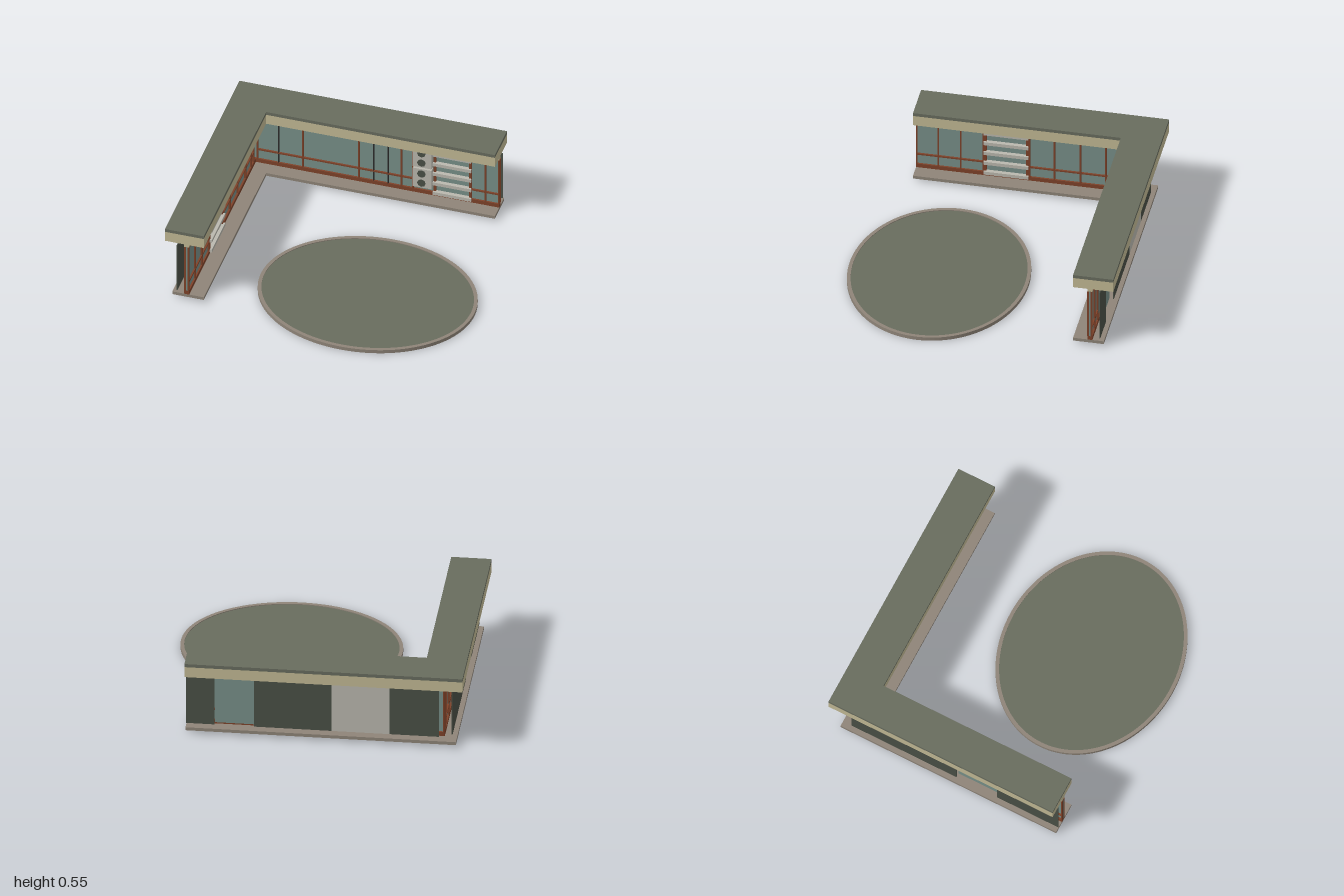
import * as THREE from 'three';

const mat = (name, color) => Object.assign(new THREE.MeshStandardMaterial({ color }), { name });
const M = {
  roof: mat('grey green', 0x686c5e),
  cream: mat('cream', 0xc2b994),
  stone: mat('warm stone', 0x8e8478),
  red: mat('red brown timber', 0x7e4229),
  glass: mat('teal glass', 0x778f88),
  dark: mat('dark panel', 0x4a5046),
  pale: mat('pale grey', 0xbab8ae),
  black: mat('dark mullion', 0x2c2c2a),
};

function add(parent, name, geo, material) {
  const m = new THREE.Mesh(geo, material);
  m.name = name;
  parent.add(m);
  return m;
}

// box given by its ranges on x, y and z
function box(parent, name, material, x0, x1, y0, y1, z0, z1) {
  const m = add(parent, name, new THREE.BoxGeometry(x1 - x0, y1 - y0, z1 - z0), material);
  m.position.set((x0 + x1) / 2, (y0 + y1) / 2, (z0 + z1) / 2);
}

// L-shaped slab: outer corner at (x0, z0), inner corner at (xi, zi)
function slab(parent, name, material, x0, z0, xi, zi, x1, z1, y0, y1) {
  const pts = [[x0, z0], [x1, z0], [x1, zi], [xi, zi], [xi, z1], [x0, z1]];
  const shape = new THREE.Shape(pts.map(([x, z]) => new THREE.Vector2(x, -z)));
  const geo = new THREE.ExtrudeGeometry(shape, { depth: y1 - y0, bevelEnabled: false });
  geo.rotateX(-Math.PI / 2);
  add(parent, name, geo, material).position.y = y0;
}

const SILL = 0.07, TOP = 0.43, RAIL = 0.147;

// one wing: x runs along the facade, +z faces the courtyard
function wing(name, o) {
  const g = new THREE.Group();
  g.name = name;
  const [a, b] = o.span;
  box(g, 'sill', M.red, a, b, 0.04, SILL, -0.017, 0.017);
  box(g, 'topBeam', M.cream, a, b, TOP, 0.452, -0.017, 0.017);
  box(g, 'glazing', M.glass, a, b, SILL, TOP, -0.005, 0.005);

  // timber frame on both faces of the glazing
  for (const [z0, z1] of [[0.005, 0.017], [-0.017, -0.005]]) {
    box(g, 'topRail', M.red, a, b, TOP - 0.006, TOP, z0, z1);
    for (const [p, q] of o.rails) box(g, 'transom', M.red, p, q, RAIL - 0.005, RAIL + 0.005, z0, z1);
    for (const u of o.posts) box(g, 'mullion', M.red, u - 0.005, u + 0.005, SILL, TOP, z0, z1);
    for (const u of o.thin) box(g, 'thinMullion', M.black, u - 0.003, u + 0.003, SILL, TOP, z0, z1);
  }

  // open shelves between two wide posts
  const [s0, s1] = o.shelves;
  box(g, 'shelfPost', M.red, s0, s0 + 0.018, SILL, TOP, -0.017, 0.02);
  box(g, 'shelfPost', M.red, s1 - 0.018, s1, SILL, TOP, -0.017, 0.02);
  for (let i = 0; i < 5; i++) {
    const y = 0.07 + i * 0.079;
    box(g, 'shelf', M.pale, s0, s1, y - 0.012, y + 0.012, 0.006, 0.033);
  }

  // rear cladding, with a window behind the shelves
  for (const [p, q, m] of o.cladding) box(g, 'rearPanel', m, p, q, 0.062, TOP, -0.069, -0.063);
  box(g, 'rearWindow', M.glass, s0, s1, 0.062, TOP, -0.038, -0.033);
  return g;
}

export function createModel() {
  const root = new THREE.Group();
  root.name = 'pavilion';

  slab(root, 'floorSlab', M.stone, -0.95, -0.875, -0.735, -0.67, 0.83, 0.717, 0.02, 0.042);
  slab(root, 'roofFascia', M.cream, -1, -0.938, -0.735, -0.67, 0.83, 0.717, 0.45, 0.524);
  slab(root, 'roofTop', M.roof, -1, -0.938, -0.735, -0.67, 0.83, 0.717, 0.524, 0.547);

  const back = wing('backWing', {
    span: [-0.868, 0.83],
    posts: [-0.863, -0.825, -0.515, -0.13, 0.16, 0.24, 0.735, 0.828],
    thin: [-0.68, -0.03, 0.07],
    rails: [[-0.82, 0.24], [0.64, 0.83]],
    shelves: [0.38, 0.642],
    cladding: [[0.642, 0.83, M.dark], [-0.13, 0.38, M.dark], [-0.51, -0.13, M.pale], [-0.835, -0.51, M.dark]],
  });
  back.position.z = -0.782;
  root.add(back);

  // cabinets with round dark fronts beside the back shelves
  for (const [y0, y1] of [[0.275, 0.43], [0.11, 0.262]]) {
    box(back, 'cabinet', M.pale, 0.247, 0.375, y0, y1, 0.006, 0.045);
    for (const t of [0.25, 0.75]) {
      const disc = add(back, 'roundFront', new THREE.CylinderGeometry(0.029, 0.029, 0.006, 8), M.dark);
      disc.rotation.x = Math.PI / 2;
      disc.position.set(0.307, y0 + (y1 - y0) * t, 0.046);
    }
  }

  const side = wing('sideWing', {
    span: [-0.717, 0.765],
    posts: [-0.714, -0.57, -0.42, -0.27, 0.04, 0.205, 0.38, 0.55, 0.675, 0.73],
    thin: [],
    rails: [[-0.717, -0.265], [0.035, 0.73]],
    shelves: [-0.265, 0.035],
    cladding: [[-0.717, -0.265, M.dark], [0.035, 0.81, M.dark]],
  });
  side.rotation.y = Math.PI / 2;
  side.position.x = -0.852;
  root.add(side);

  // oval courtyard bed with a raised stone rim
  const bed = new THREE.Group();
  bed.name = 'ovalBed';
  const oval = (path, rx, rz) => path.absellipse(0, 0, rx, rz, 0, Math.PI * 2, false, 0);
  const ring = oval(new THREE.Shape(), 0.73, 0.597);
  ring.holes.push(oval(new THREE.Path(), 0.706, 0.573));
  const rimGeo = new THREE.ExtrudeGeometry(ring, { depth: 0.025, bevelEnabled: false, curveSegments: 64 });
  add(bed, 'rim', rimGeo.rotateX(-Math.PI / 2), M.stone);
  const lawn = add(bed, 'lawn', new THREE.CylinderGeometry(1, 1, 0.018, 64), M.roof);
  lawn.scale.set(0.707, 1, 0.574);
  lawn.position.y = 0.011;
  bed.position.set(0.27, 0, 0.338);
  root.add(bed);

  return root;
}
